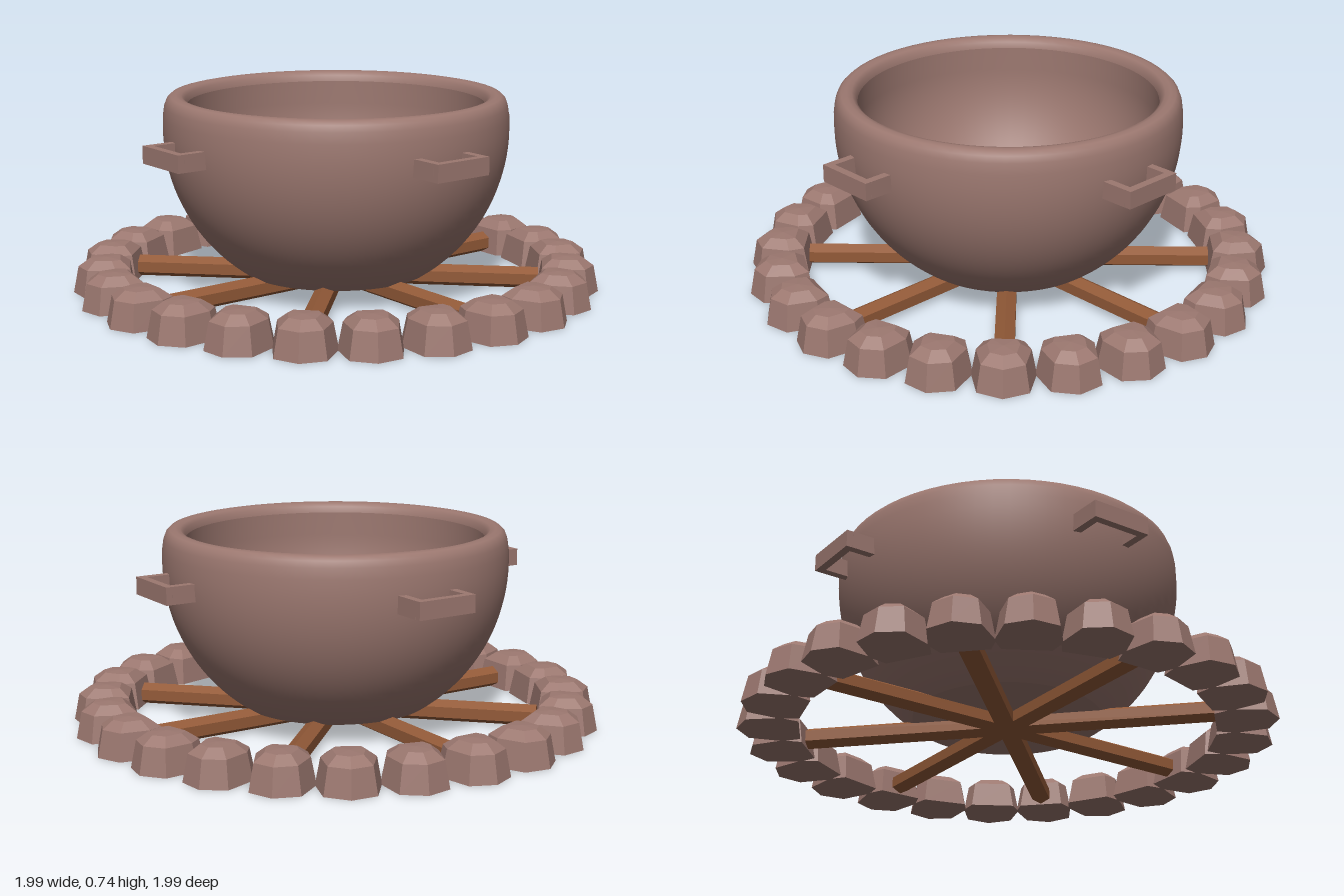
import * as THREE from 'three';

const clay = new THREE.MeshStandardMaterial({ color: 0x9c7870 });
clay.name = 'clay';
const stoneMat = new THREE.MeshStandardMaterial({ color: 0x9c7870, flatShading: true });
stoneMat.name = 'stone';
const wood = new THREE.MeshStandardMaterial({ color: 0x935a38, flatShading: true });
wood.name = 'wood';

function add(parent, name, geometry, material) {
  const mesh = new THREE.Mesh(geometry, material);
  mesh.name = name;
  parent.add(mesh);
  return mesh;
}

const lathe = (pts) => new THREE.LatheGeometry(pts.map(([r, y]) => new THREE.Vector2(r, y)), 64);

// Arc of a sphere profile, from one radius and side of its centre to an end angle
function arc(radius, centreY, from, to, steps) {
  return Array.from({ length: steps + 1 }, (_, i) => {
    const a = from + (to - from) * i / steps;
    return [radius * Math.cos(a), centreY + radius * Math.sin(a)];
  });
}

// Faceted stone: a seven-sided outline (z points outward) lofted up to a low dome
function stoneGeometry() {
  const outline = [[0, 0.125], [0.09, 0.085], [0.113, -0.04], [0.085, -0.105],
    [-0.085, -0.105], [-0.113, -0.04], [-0.09, 0.085]];
  const rings = [[0, 1], [0.1, 0.84], [0.13, 0.5]].map(([y, s]) =>
    outline.map(([x, z]) => [x * s, y, z * s]));
  const n = outline.length;
  const pos = [];
  const tri = (...corners) => corners.forEach((c) => pos.push(...c));
  for (let i = 0; i < n; i++) {
    const j = (i + 1) % n;
    for (let k = 0; k < 2; k++) {
      const lo = rings[k], hi = rings[k + 1];
      tri(lo[i], lo[j], hi[j]);
      tri(lo[i], hi[j], hi[i]);
    }
    tri(rings[2][i], rings[2][j], [0, 0.134, 0]);
    tri(rings[0][j], rings[0][i], [0, 0, 0]);
  }
  const g = new THREE.BufferGeometry();
  g.setAttribute('position', new THREE.Float32BufferAttribute(pos, 3));
  g.computeVertexNormals();
  return g;
}

export function createModel() {
  const model = new THREE.Group();
  model.name = 'cauldronOnFirePit';

  // Ring of stones
  const ring = new THREE.Group();
  ring.name = 'stoneRing';
  model.add(ring);
  const stone = stoneGeometry();
  for (let i = 0; i < 24; i++) {
    const a = i * Math.PI / 12;
    const mesh = add(ring, 'stone', stone, stoneMat);
    mesh.position.set(0.872 * Math.sin(a), 0, 0.872 * Math.cos(a));
    mesh.rotation.y = a;
  }

  // Crossed logs under the bowl
  const logs = new THREE.Group();
  logs.name = 'logs';
  model.add(logs);
  const log = new THREE.CylinderGeometry(0.041, 0.041, 1.54, 6).rotateX(Math.PI / 2);
  for (let i = 0; i < 4; i++) {
    const mesh = add(logs, 'log', log, wood);
    mesh.position.y = 0.045;
    mesh.rotation.y = i * Math.PI / 4;
  }

  // Bowl: outer wall with rounded rim, inner wall, floor and underside
  const bowl = new THREE.Group();
  bowl.name = 'bowl';
  model.add(bowl);
  const outer = arc(0.65, 0.61, -Math.acos(0.355 / 0.65), 0, 20);
  add(bowl, 'outerWall', lathe([...outer, [0.649, 0.66], [0.643, 0.7], [0.634, 0.723], [0.62, 0.736],
    [0.6, 0.74], [0.58, 0.735], [0.566, 0.723], [0.56, 0.7]]), clay);
  const inner = arc(0.56, 0.61, 0, -Math.acos(0.33 / 0.56), 20);
  add(bowl, 'innerWall', lathe([[0.56, 0.7], ...inner]), clay);
  const floor = add(bowl, 'floor', new THREE.CircleGeometry(0.33, 64).rotateX(-Math.PI / 2), clay);
  floor.position.y = inner[inner.length - 1][1];
  const underside = add(bowl, 'underside', new THREE.CircleGeometry(0.355, 64).rotateX(Math.PI / 2), clay);
  underside.position.y = outer[0][1];

  // Four square handles, each set slightly off centre
  for (let i = 0; i < 4; i++) {
    const handle = new THREE.Group();
    handle.name = 'handle';
    handle.rotation.y = i * Math.PI / 2;
    bowl.add(handle);
    const bar = add(handle, 'handleBar', new THREE.BoxGeometry(0.235, 0.065, 0.03), stoneMat);
    bar.position.set(-0.037, 0.567, 0.74);
    for (const x of [-0.14, 0.066]) {
      const arm = add(handle, 'handleArm', new THREE.BoxGeometry(0.03, 0.065, 0.115), stoneMat);
      arm.position.set(x, 0.567, 0.6725);
    }
  }
  return model;
}
